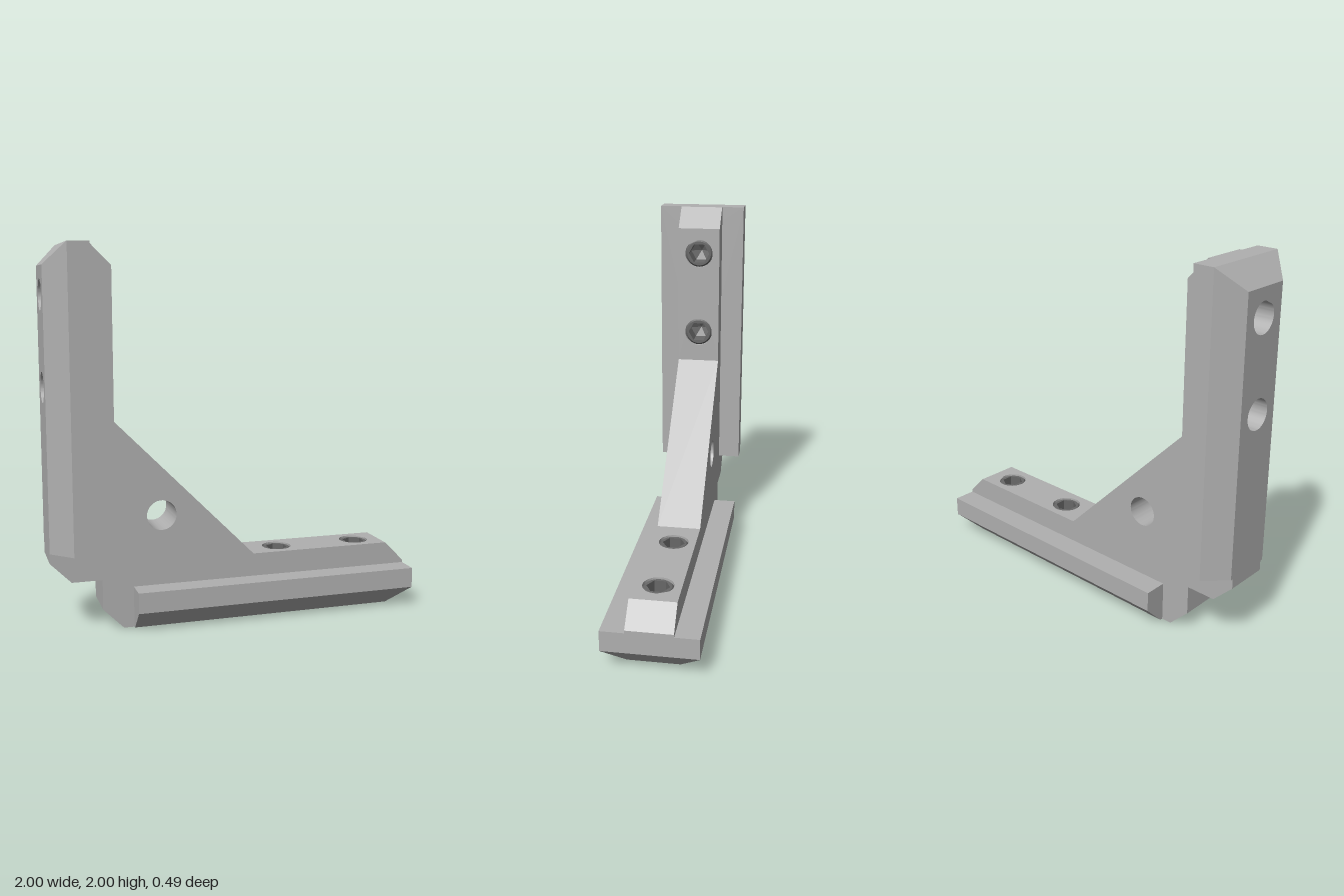
import * as THREE from 'three';
import { toCreasedNormals } from 'three/addons/utils/BufferGeometryUtils.js';

const T = 0.12;               // half thickness of the web
const HOLES = [0.275, 0.745]; // screw positions along a leg
const R = 0.08;               // hole radius

const circle = (x, y, r) => new THREE.Path().absarc(x, y, r, 0, Math.PI * 2, true);

// Bar along x with two vertical holes; its outline is pulled in at each height level
function drilledBar(x0, x1, halfWidth, heights, endInsets, sideInsets) {
  const shape = new THREE.Shape([
    new THREE.Vector2(x0, -halfWidth), new THREE.Vector2(x1, -halfWidth),
    new THREE.Vector2(x1, halfWidth), new THREE.Vector2(x0, halfWidth),
  ]);
  HOLES.forEach((x) => shape.holes.push(circle(x, 0, R)));
  const steps = heights.length - 1;
  const geo = new THREE.ExtrudeGeometry(shape, { depth: steps, steps, bevelEnabled: false, curveSegments: 32 });
  geo.rotateX(-Math.PI / 2);
  const p = geo.attributes.position;
  for (let i = 0; i < p.count; i++) {
    const level = Math.round(p.getY(i));
    const x = p.getX(i), z = p.getZ(i);
    p.setY(i, heights[level]);
    if (x > x1 - 1e-4) p.setX(i, x - endInsets[level]);
    if (Math.abs(z) > halfWidth - 1e-4) p.setZ(i, z - Math.sign(z) * sideInsets[level]);
  }
  return toCreasedNormals(geo, 0.5);
}

export function createModel() {
  const model = new THREE.Group();
  model.name = 'cornerBracket';
  const metal = new THREE.MeshStandardMaterial({ color: 0xb0b0b0 });
  metal.name = 'light grey metal';
  const dark = new THREE.MeshStandardMaterial({ color: 0x686868 });
  dark.name = 'dark grey steel';

  const add = (parent, name, geo, mat) => {
    const mesh = new THREE.Mesh(geo, mat);
    mesh.name = name;
    parent.add(mesh);
    return mesh;
  };

  // Triangular gusset with stepped outer corner and round hole
  const outline = [
    [-0.62, 0], [0.1, 0], [0.1, 0.345], [-0.655, 1.1], [-1, 1.1],
    [-1, 0.38], [-0.89, 0.27], [-0.73, 0.27], [-0.73, 0.11],
  ].map(([x, y]) => new THREE.Vector2(x, y));
  const gusset = new THREE.Shape(outline);
  gusset.holes.push(circle(-0.41, 0.595, R));
  const gussetGeo = new THREE.ExtrudeGeometry(gusset, { depth: 2 * T, bevelEnabled: false, curveSegments: 32 });
  gussetGeo.translate(0, 0, -T);
  add(model, 'gusset', toCreasedNormals(gussetGeo, 0.5), metal);

  // Leg parts: narrow rib with bevelled tip, and wide flange with bevelled underside
  const ribGeo = drilledBar(0.1, 1, T, [0, 0.11, 0.235, 0.345], [0.11, 0, 0, 0.11], [0, 0, 0, 0]);
  const flangeGeo = drilledBar(-0.565, 1, 0.245, [0, 0.11, 0.22], [0.11, 0, 0], [0.11, 0, 0]);

  // Set screw: turned body, top ring with hexagonal opening, socket with pointed floor
  const top = 0.34, hexR = 0.06;
  const v = (x, y) => new THREE.Vector2(x, y);
  const bodyGeo = toCreasedNormals(new THREE.LatheGeometry(
    [v(0, 0.12), v(0.055, 0.12), v(0.0795, 0.145), v(0.0795, top - 0.01), v(0.07, top)], 32), 0.5);
  const ring = new THREE.Shape().absarc(0, 0, 0.07, 0, Math.PI * 2, false);
  ring.holes.push(new THREE.Path(Array.from({ length: 6 }, (_, i) =>
    v(hexR * Math.sin(i * Math.PI / 3), hexR * Math.cos(i * Math.PI / 3)))));
  const ringGeo = new THREE.ShapeGeometry(ring, 32);
  ringGeo.rotateX(-Math.PI / 2);
  ringGeo.translate(0, top, 0);
  const socketGeo = toCreasedNormals(new THREE.LatheGeometry(
    [v(hexR, top), v(hexR, top - 0.1), v(0, top - 0.13)], 6), 0.1);

  const makeLeg = (name) => {
    const leg = new THREE.Group();
    leg.name = name;
    add(leg, 'rib', ribGeo, metal);
    add(leg, 'flange', flangeGeo, metal);
    HOLES.forEach((x) => {
      const screw = new THREE.Group();
      screw.name = 'setScrew';
      screw.position.x = x;
      add(screw, 'screwBody', bodyGeo, dark);
      add(screw, 'screwTop', ringGeo, dark);
      add(screw, 'hexSocket', socketGeo, dark);
      leg.add(screw);
    });
    model.add(leg);
    return leg;
  };

  // The upright leg is the lower leg turned half round about the diagonal
  makeLeg('lowerLeg');
  const upright = makeLeg('uprightLeg');
  upright.quaternion.setFromAxisAngle(new THREE.Vector3(1, 1, 0).normalize(), Math.PI);
  upright.position.set(-1, 1, 0);

  return model;
}
